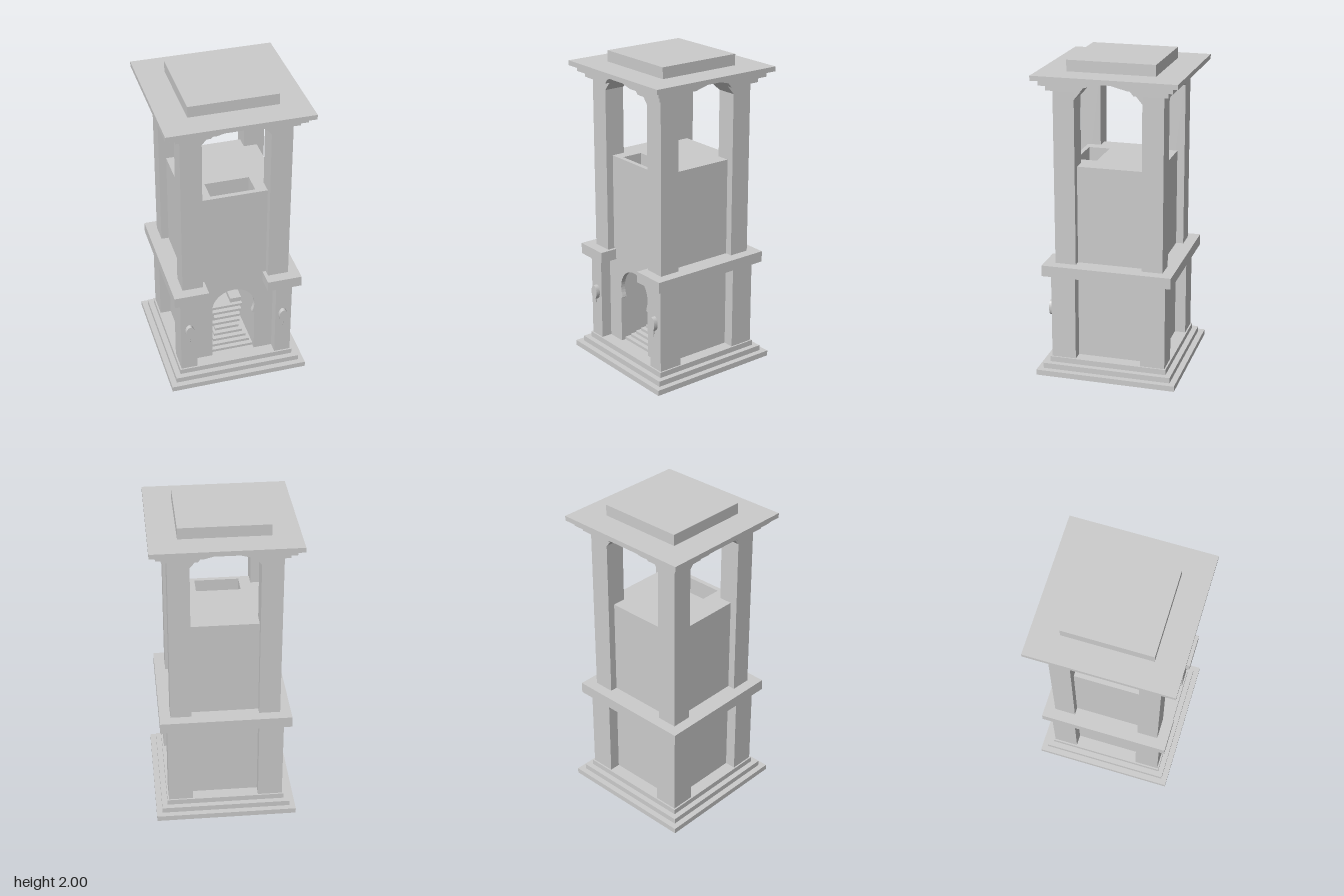
import * as THREE from 'three';

export function createModel() {
  const root = new THREE.Group();
  root.name = 'tower';
  const mat = new THREE.MeshStandardMaterial({ color: 0xcccccc, flatShading: true, side: THREE.DoubleSide });
  const add = (name, geo, parent = root) => {
    const m = new THREE.Mesh(geo, mat);
    m.name = name;
    parent.add(m);
    return m;
  };
  // Box given by its limits on each axis
  const box = (name, x0, x1, y0, y1, z0, z1, parent) => {
    const m = add(name, new THREE.BoxGeometry(x1 - x0, y1 - y0, z1 - z0), parent);
    m.position.set((x0 + x1) / 2, (y0 + y1) / 2, (z0 + z1) / 2);
    return m;
  };
  const slab = (name, h, y0, y1) => box(name, -h, h, y0, y1, -h, h);
  const extrude = (name, shape, depth, z, parent) => {
    const m = add(name, new THREE.ExtrudeGeometry(shape, { depth, bevelEnabled: false, curveSegments: 16 }), parent);
    m.position.z = z;
    return m;
  };

  // Stepped plinth
  [0.447, 0.41, 0.375].forEach((h, i) => slab('plinthStep', h, i * 0.035, (i + 1) * 0.035));

  // Hollow body: side walls, back wall and the core behind the stair shaft
  const B = 0.295, D = 0.14, FLOOR = 0.105, TOP = 1.35;
  for (const s of [-1, 1]) {
    const a = s * D, b = s * B;
    box('sideWall', Math.min(a, b), Math.max(a, b), FLOOR, TOP, -B, 0.265);
  }
  box('backWall', -D, D, FLOOR, TOP, -B, -0.2);
  box('core', -D, D, 0.63, TOP, -0.2, 0.13);

  // Front wall with a horseshoe doorway
  const wall = new THREE.Shape();
  wall.moveTo(-B, FLOOR);
  wall.lineTo(-B, TOP);
  wall.lineTo(B, TOP);
  wall.lineTo(B, FLOOR);
  wall.lineTo(D, FLOOR);
  wall.lineTo(D, 0.405);
  wall.lineTo(0.125, 0.415);
  wall.absarc(0, 0.485, D, -0.4, Math.PI + 0.4, false);
  wall.lineTo(-0.125, 0.415);
  wall.lineTo(-D, 0.405);
  wall.lineTo(-D, FLOOR);
  extrude('frontWall', wall, 0.03, 0.265);

  // Staircase, pinched in the middle, up to a landing with a niche
  for (let i = 0; i < 9; i++) {
    const w = D - 0.06 * (1 - Math.abs(i - 4) / 4);
    const y = FLOOR + i * 0.018, z = 0.265 - i * 0.03;
    box('stair', -w, w, y, y + 0.018, -0.2, z);
  }
  for (const s of [-1, 1]) {
    const a = s * 0.065, b = s * D;
    box('landingCurb', Math.min(a, b), Math.max(a, b), 0.267, 0.3, -0.1, 0);
    box('nichePier', Math.min(a, b), Math.max(a, b), 0.267, 0.63, -0.2, -0.1);
  }
  box('nicheLintel', -0.065, 0.065, 0.4, 0.63, -0.2, -0.1);

  // Corner pillars: wide below the band, slimmer above it
  for (const sx of [-1, 1]) for (const sz of [-1, 1]) {
    const pillar = new THREE.Group();
    pillar.name = 'cornerPillar';
    pillar.scale.set(1, 1, 1);
    root.add(pillar);
    const part = (name, xi, xo, y0, y1, zi, zo) => box(name,
      Math.min(sx * xi, sx * xo), Math.max(sx * xi, sx * xo), y0, y1,
      Math.min(sz * zi, sz * zo), Math.max(sz * zi, sz * zo), pillar);
    part('lowerPillar', sz > 0 ? 0.26 : 0.21, 0.365, FLOOR, 0.66, 0.21, 0.365);
    part('upperPillar', 0.21, 0.342, 0.73, 1.83, 0.21, 0.342);
    part('pillarCap', 0.21, 0.375, 1.83, 1.865, 0.21, 0.375);
    part('pillarCap', 0.21, 0.41, 1.865, 1.9, 0.21, 0.41);
  }

  // Band around sides and back, open over the doorway
  box('leftBand', 0.19, 0.41, 0.66, 0.73, -0.41, 0.41);
  box('rightBand', -0.41, -0.19, 0.66, 0.73, -0.41, 0.41);
  box('backBand', -0.19, 0.19, 0.66, 0.73, -0.41, -0.25);

  // Faceted arches between the pillars, one row per cornice tier
  const tiers = [
    { y0: 1.775, y1: 1.83, x0: 0.21, x1: 0.164, out: 0.342 },
    { y0: 1.83, y1: 1.865, x0: 0.164, x1: 0.135, out: 0.375 },
    { y0: 1.865, y1: 1.9, x0: 0.135, x1: 0, out: 0.41 },
  ];
  for (let k = 0; k < 4; k++) {
    const side = new THREE.Group();
    side.name = 'archSide';
    side.rotation.y = k * Math.PI / 2;
    root.add(side);
    for (const t of tiers) for (const s of [-1, 1]) {
      const spandrel = new THREE.Shape([[0.21, t.y0], [t.x0, t.y0], [t.x1, t.y1], [0.21, t.y1]]
        .map(([x, y]) => new THREE.Vector2(s * x, y)));
      extrude('archSpandrel', spandrel, t.out - 0.21, 0.21, side);
    }
  }

  // Groin vault where the two arched passages cross
  const g = [-0.21, -0.135, 0, 0.135, 0.21];
  const rise = { 0: 1.9, 0.135: 1.865, 0.21: 1.775 };
  const P = (i, j) => [g[i], rise[Math.min(Math.abs(g[i]), Math.abs(g[j]))], g[j]];
  const pos = [];
  for (let i = 0; i < 4; i++) for (let j = 0; j < 4; j++) {
    const a = P(i, j), b = P(i + 1, j), c = P(i + 1, j + 1), d = P(i, j + 1);
    const same = (i < 2) === (j < 2);
    pos.push(...(same ? [a, b, c, a, c, d] : [a, b, d, b, c, d]).flat());
  }
  const vault = new THREE.BufferGeometry();
  vault.setAttribute('position', new THREE.Float32BufferAttribute(pos, 3));
  vault.computeVertexNormals();
  add('vault', vault);
  box('vaultBoss', -0.025, 0.025, 1.878, 1.9, -0.06, 0.06);

  // Roof
  slab('roofSlab', 0.447, 1.9, 1.93);
  slab('roofCap', 0.275, 1.93, 2);

  // Oval wall lamps with a pointed tail
  for (const s of [-1, 1]) {
    const lamp = new THREE.Group();
    lamp.name = 'wallLamp';
    lamp.position.set(s * 0.308, 0.415, 0.365);
    root.add(lamp);
    const oval = new THREE.Shape();
    oval.absellipse(0, 0, 0.028, 0.047, 0, Math.PI * 2);
    extrude('lampBody', oval, 0.027, 0, lamp);
    const tail = add('lampTail', new THREE.ConeGeometry(0.01, 0.06, 8), lamp);
    tail.rotation.x = Math.PI;
    tail.position.set(0, -0.06, 0.01);
  }
  return root;
}
